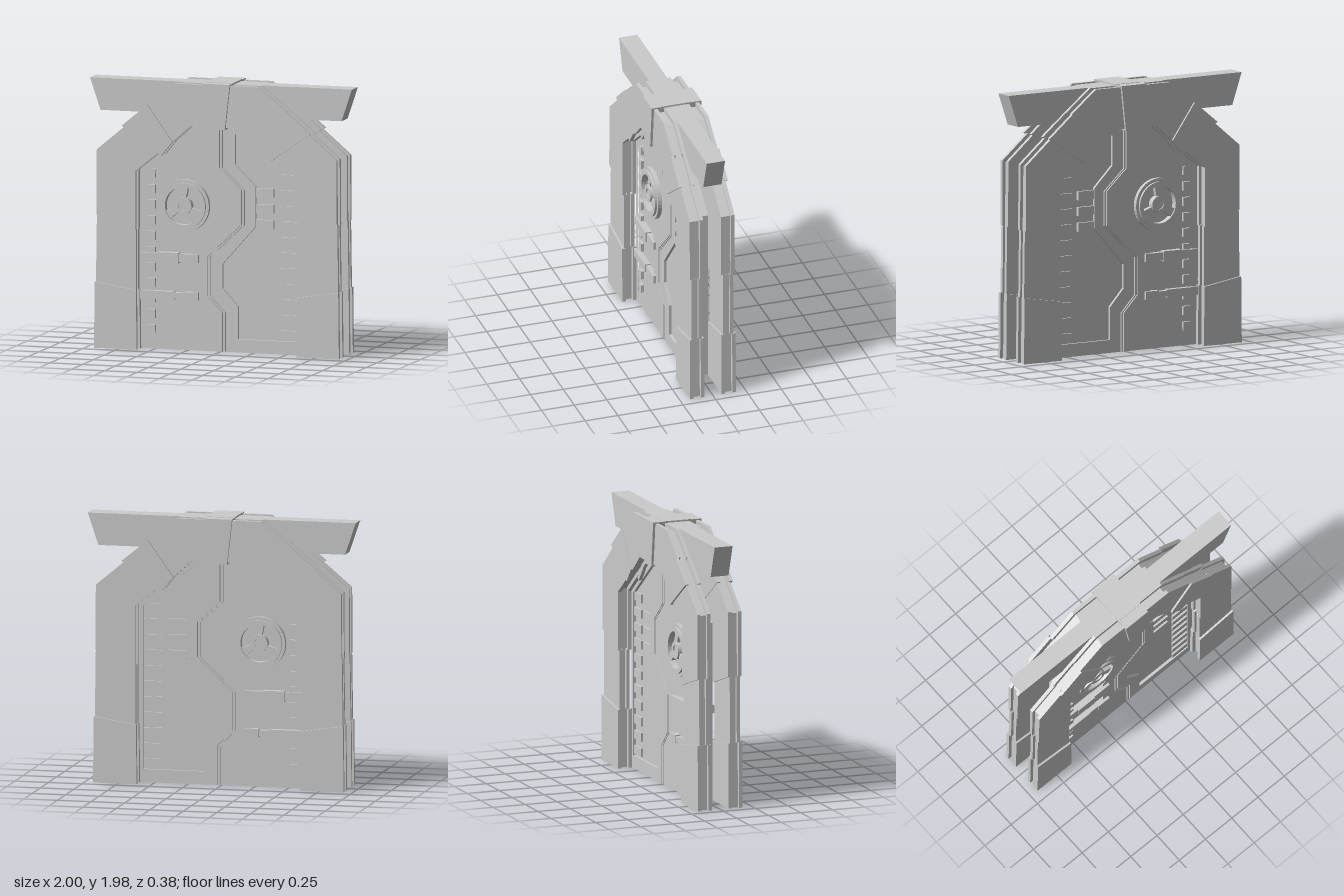
import * as THREE from 'three';

const mat = new THREE.MeshStandardMaterial({ color: 0xcccccc, flatShading: true });
const mirrorX = pts => pts.map(([x, y]) => [-x, y]);
const rect = (x0, x1, y, h) => [[x0, y - h / 2], [x1, y - h / 2], [x1, y + h / 2], [x0, y + h / 2]];
const toVec = pts => pts.map(([x, y]) => new THREE.Vector2(x, y));

// Flat plate with an outline in x/y, filling the range za..zb
function slab(parent, name, pts, za, zb, hole) {
  const shape = new THREE.Shape(toVec(pts));
  if (hole) shape.holes.push(new THREE.Path(toVec(hole)));
  const geo = new THREE.ExtrudeGeometry(shape, { depth: Math.abs(zb - za), bevelEnabled: false });
  geo.translate(0, 0, Math.min(za, zb));
  const mesh = new THREE.Mesh(geo, mat);
  mesh.name = name;
  parent.add(mesh);
}

// Points of a circle, for round plates and round holes
function circle(cx, cy, r, n = 40) {
  return Array.from({ length: n }, (_, i) => {
    const a = i / n * Math.PI * 2;
    return [cx + r * Math.cos(a), cy + r * Math.sin(a)];
  });
}

// Stones of one half of the frame: name, outline, back z, front z
const stones = [
  ['frameFoot', [[0.61, 0], [0.935, 0], [0.93, 0.485], [0.615, 0.435]], 0.066, 0.175],
  ['framePost', [[0.62, 0.435], [0.925, 0.484], [0.918, 0.975], [0.62, 0.875]], 0.08, 0.16],
  ['frameShoulder', [[0.62, 0.875], [0.918, 0.975], [0.915, 1.455], [0.70, 1.635], [0.42, 1.47], [0.62, 1.31]], 0.068, 0.172],
  ['frameKnuckle', [[0.42, 1.43], [0.72, 1.64], [0.525, 1.80], [0.335, 1.535]], 0.064, 0.186],
  ['frameArch', [[0.335, 1.535], [0.525, 1.80], [0.315, 1.965], [0, 1.965], [0, 1.655], [0.2, 1.655]], 0.068, 0.172],
];

// Recessed middle layer that leaves a groove round the edge of the frame
const coreHalf = [[0.64, 0], [0.91, 0], [0.89, 1.44], [0.50, 1.77], [0.30, 1.93]];
const coreInner = [[0.21, 1.68], [0.64, 1.33]];

const seam = [[0, 1.68], [0, 1.345], [0.168, 1.19], [0.168, 0.935], [-0.093, 0.685], [-0.093, 0.405], [0.022, 0.285], [0.022, 0]];
const shift = (pts, d) => pts.map(([x, y]) => [x + d, y]);
const ribbon = (pts, w) => [...shift(pts, -w), ...shift(pts, w).reverse()];

const leftPanel = [[-0.578, 0.095], [-0.578, 1.268], [-0.178, 1.595], [-0.102, 1.595], [-0.102, 1.295], [0.06, 1.14],
  [0.06, 0.98], [-0.22, 0.745], [-0.22, 0.345], [-0.08, 0.23], [-0.08, 0.095]];
const leftInner = [[-0.557, 0.13], [-0.557, 1.235], [-0.165, 1.557], [-0.135, 1.557], [-0.135, 1.27], [0.025, 1.12],
  [0.025, 1.0], [-0.188, 0.76], [-0.188, 0.33], [-0.113, 0.215], [-0.113, 0.13]];
const rightPanel = [[0.107, 1.595], [0.208, 1.595], [0.588, 1.30], [0.588, 0.095], [0.128, 0.095], [0.128, 0.335],
  [0.01, 0.465], [0.01, 0.64], [0.262, 0.925], [0.262, 1.22], [0.107, 1.375]];

// Hand wheel: stepped rings, hub and three tapered spokes
function addWheel(parent, s) {
  const wheel = new THREE.Group();
  wheel.name = 'handWheel';
  parent.add(wheel);
  const cx = -0.283, cy = 1.056;
  const ring = (name, r, ri, z) => slab(wheel, name, circle(cx, cy, r), 0.045 * s, z * s, circle(cx, cy, ri));
  ring('wheelBase', 0.193, 0.165, 0.076);
  ring('wheelRim', 0.17, 0.138, 0.092);
  ring('wheelHub', 0.064, 0.034, 0.092);
  slab(wheel, 'wheelCap', circle(cx, cy, 0.036), 0.045 * s, 0.082 * s);
  for (let i = 0; i < 3; i++) {
    const a = Math.PI / 2 + i * Math.PI * 2 / 3;
    const at = (r, w) => [cx + r * Math.cos(a) - w * Math.sin(a), cy + r * Math.sin(a) + w * Math.cos(a)];
    slab(wheel, 'wheelSpoke', [at(0.055, -0.018), at(0.145, -0.036), at(0.145, 0.036), at(0.055, 0.018)], 0.045 * s, 0.08 * s);
  }
}

// Everything on one face of the gate; s = 1 front, s = -1 back
function addFace(root, s) {
  const face = new THREE.Group();
  face.name = s > 0 ? 'frontFace' : 'backFace';
  root.add(face);
  const plate = (name, pts, z0, z1, hole) => slab(face, name, pts, z0 * s, z1 * s, hole);

  // Frame: outer plate, inner plate and recessed core
  for (const [name, pts, z0, z1] of stones) {
    for (const p of [pts, mirrorX(pts)]) {
      plate(name, p, z1 - 0.027, z1);
      plate(name + 'Inner', p, z0, z0 + 0.027);
    }
  }
  plate('frameCore', [...coreHalf, ...mirrorX(coreHalf).reverse(), ...mirrorX(coreInner).reverse(), ...coreInner], 0.085, 0.15);
  plate('keystone', [[-0.068, 1.642], [0.068, 1.642], [0.105, 1.975], [-0.105, 1.975]], 0.065, 0.19);

  // Door leaves with sunken panels either side of the seam
  plate('leftLeaf', [[-0.62, 0], [-0.62, 1.315], [-0.2, 1.68], ...shift(seam, -0.016)], 0.04, 0.066, leftPanel);
  plate('rightLeaf', [[0.62, 0], [0.62, 1.315], [0.2, 1.68], ...shift(seam, 0.016)], 0.04, 0.066, rightPanel);
  plate('leftPanelStep', leftPanel, 0.04, 0.056, leftInner);
  plate('seamStrip', ribbon(seam, 0.007), 0.04, 0.066);

  // Rows of teeth and vents
  for (let i = 0; i < 11; i++) {
    const y = 0.14 + i * 0.1143;
    plate('leftTooth', rect(-0.56, -0.503, y, 0.064), 0.04, 0.068);
    plate('rightTooth', rect(0.45, i === 10 ? 0.58 : 0.585, y, 0.064), 0.04, 0.06);
  }
  for (const y of [1.176, 1.06, 0.945]) plate('vent', rect(0.265, 0.4, y, 0.064), 0.04, 0.066);

  // Hinge straps with a thicker joint
  for (const [y, a, b] of [[0.673, -0.475, -0.318], [0.395, -0.355, -0.28]]) {
    plate('hingeStrap', rect(-0.615, a, y, 0.06), 0.04, 0.086);
    plate('hingeJoint', rect(a, b, y, y > 0.5 ? 0.076 : 0.044), 0.04, y > 0.5 ? 0.096 : 0.08);
    plate('hingeStrapEnd', rect(b, -0.17, y, 0.06), 0.04, 0.086);
  }
  addWheel(face, s);
}

export function createModel() {
  const root = new THREE.Group();
  root.name = 'gate';
  slab(root, 'doorCore', [[-0.62, 0], [0.62, 0], [0.62, 1.315], [0.2, 1.68], [-0.2, 1.68], [-0.62, 1.315]], -0.045, 0.045);
  slab(root, 'crossBeam', [[-0.92, 1.73], [0.92, 1.73], [1, 1.965], [-1, 1.965]], -0.07, 0.07);
  slab(root, 'keystoneCap', rect(-0.104, 0.104, 1.968, 0.02), -0.11, 0.11);
  addFace(root, 1);
  addFace(root, -1);
  return root;
}
